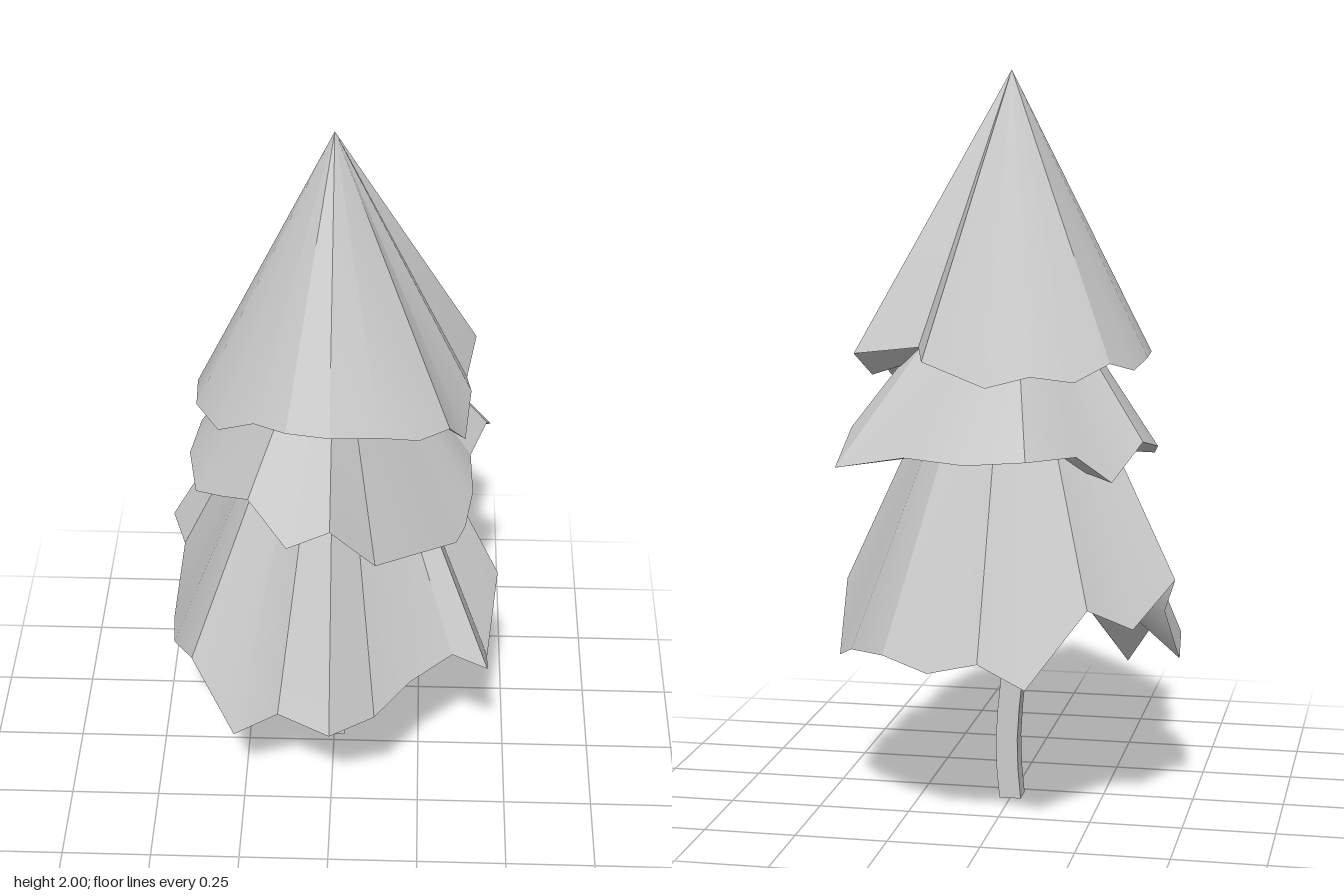
import * as THREE from 'three';
import { toCreasedNormals } from 'three/addons/utils/BufferGeometryUtils.js';

const AXIS_Z = -0.055;

// Fan of triangles from a centre point to a closed hem; points run from the front round by +x
function fan(name, centreY, hem, facesDown, crease, material) {
  const centre = [0, centreY, AXIS_Z];
  const pos = hem.flatMap((a, i) => {
    const b = hem[(i + 1) % hem.length];
    return facesDown ? [...centre, ...b, ...a] : [...centre, ...a, ...b];
  });
  const geo = new THREE.BufferGeometry();
  geo.setAttribute('position', new THREE.Float32BufferAttribute(pos, 3));
  const mesh = new THREE.Mesh(toCreasedNormals(geo, crease), material);
  mesh.name = name;
  return mesh;
}

// A jagged cone skirt with a softly shaded underside
function skirt(name, peakY, underY, hem, material) {
  const tier = new THREE.Group();
  tier.name = name;
  tier.add(fan('outside', peakY, hem, false, 0.5, material));
  tier.add(fan('underside', underY, hem, true, 1.4, material));
  return tier;
}

export function createModel() {
  const group = new THREE.Group();
  group.name = 'tree';
  const mat = new THREE.MeshStandardMaterial({ color: 0xcccccc, side: THREE.DoubleSide });

  // Hem points as [x, y, z]
  const topHem = [
    [0, 1.33, 0.34], [0.128, 1.3, 0.29], [0.23, 1.26, 0.24], [0.31, 1.247, 0.164],
    [0.355, 1.146, 0.064], [0.37, 1.22, -0.058], [0.36, 1.19, -0.17], [0.385, 1.26, -0.27],
    [0.194, 1.29, -0.336], [0.157, 1.27, -0.465], [0, 1.2, -0.425], [-0.114, 1.23, -0.41],
    [-0.22, 1.21, -0.355], [-0.3, 1.25, -0.27], [-0.35, 1.22, -0.17], [-0.37, 1.24, -0.055],
    [-0.365, 1.24, 0.06], [-0.3, 1.23, 0.165], [-0.2, 1.31, 0.25], [-0.114, 1.33, 0.32],
  ];
  const middleHem = [
    [0, 1.03, 0.34], [0.123, 1.075, 0.535], [0.335, 0.95, 0.265], [0.36, 0.94, 0.18],
    [0.38, 0.99, 0.09], [0.375, 1.0, -0.07], [0.42, 1.045, -0.165], [0.435, 0.955, -0.29],
    [0.23, 1.0, -0.36], [0.04, 1.01, -0.495], [-0.12, 1.025, -0.505], [-0.23, 1.02, -0.375],
    [-0.31, 0.94, -0.29], [-0.375, 1.03, -0.17], [-0.4, 1.0, -0.055], [-0.375, 0.96, 0.07],
    [-0.3, 1.01, 0.16], [-0.22, 1.066, 0.25], [-0.115, 0.97, 0.335],
  ];
  const lowerHem = [
    [0, 0.38, 0.41], [0.125, 0.525, 0.49], [0.22, 0.55, 0.37], [0.335, 0.57, 0.275],
    [0.433, 0.53, 0.285], [0.44, 0.4, 0.075], [0.465, 0.6, -0.058], [0.45, 0.42, -0.205],
    [0.385, 0.47, -0.33], [0.27, 0.49, -0.45], [0.14, 0.46, -0.5], [0, 0.5, -0.535],
    [-0.12, 0.43, -0.51], [-0.27, 0.63, -0.435], [-0.375, 0.56, -0.335], [-0.47, 0.67, -0.214],
    [-0.44, 0.58, -0.19], [-0.465, 0.415, -0.055], [-0.45, 0.45, 0.1], [-0.39, 0.49, 0.22],
    [-0.27, 0.3, 0.32], [-0.142, 0.435, 0.385],
  ];
  group.add(
    skirt('topBranches', 2, 1.3, topHem, mat),
    skirt('middleBranches', 1.6, 0.99, middleHem, mat),
    skirt('lowerBranches', 1.6, 0.82, lowerHem, mat),
  );

  // Square trunk with a gentle bend
  const trunkGeo = new THREE.BoxGeometry(0.06, 0.84, 0.06, 1, 10, 1).translate(0, 0.42, AXIS_Z);
  const p = trunkGeo.attributes.position;
  for (let i = 0; i < p.count; i++) {
    p.setX(i, p.getX(i) + 0.01 * Math.sin((p.getY(i) / 0.6) * Math.PI * 2));
  }
  trunkGeo.computeVertexNormals();
  const trunk = new THREE.Mesh(trunkGeo, mat);
  trunk.name = 'trunk';
  group.add(trunk);
  return group;
}
